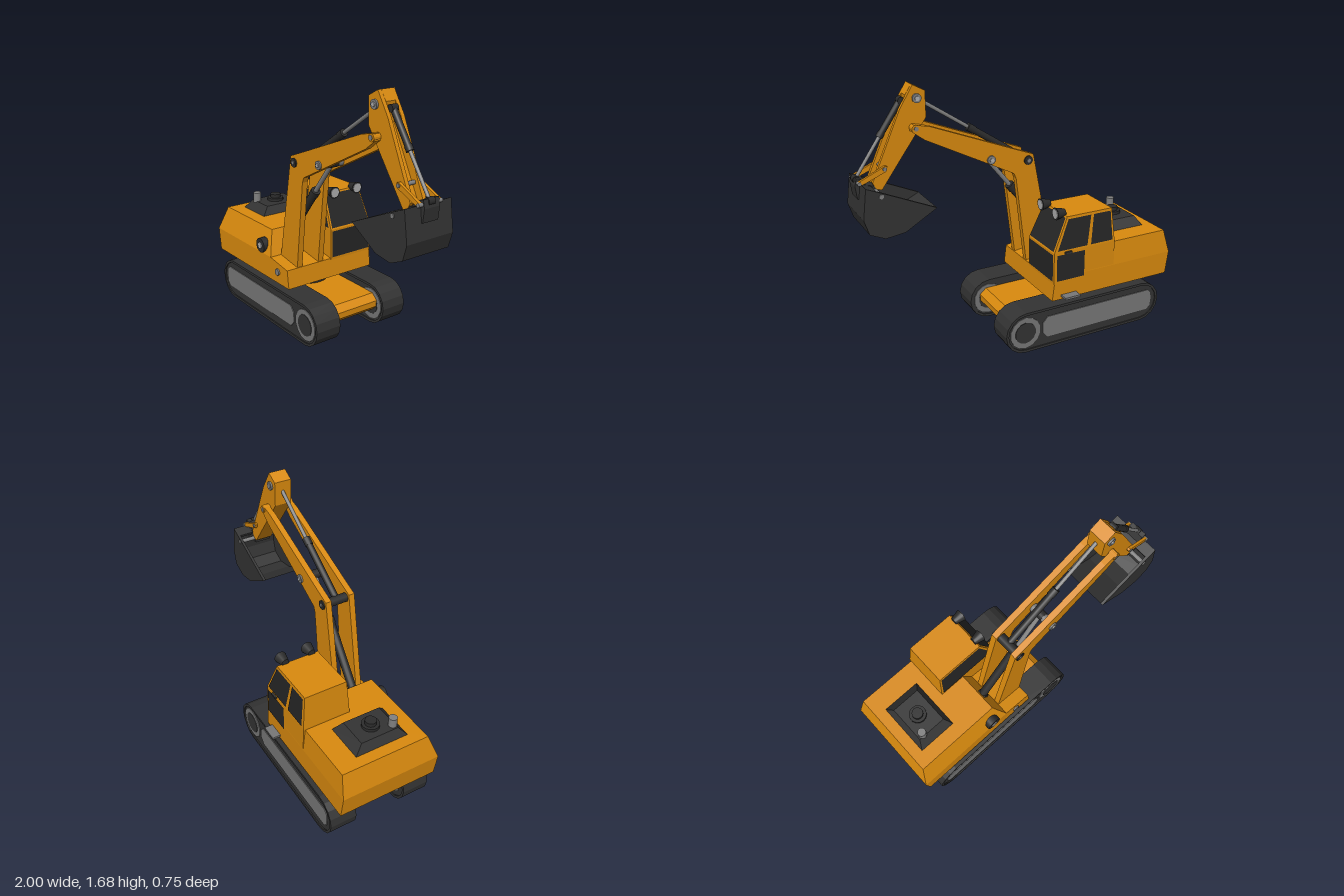
import * as THREE from 'three';

const mat = (color, extra = {}) => new THREE.MeshStandardMaterial({ color, flatShading: true, ...extra });
const orange = mat(0xd98a0e), dark = mat(0x333333), grey = mat(0x777777), pale = mat(0xb0b0b0);
const glass = mat(0x262626, { side: THREE.DoubleSide });
const darkRod = new THREE.MeshStandardMaterial({ color: 0x2c2c2c });
const greyRod = new THREE.MeshStandardMaterial({ color: 0x808080 });

export function createModel() {
  const model = new THREE.Group();
  const ARM_Z = 0.167;

  const add = (name, geo, m, parent = model) => {
    const mesh = new THREE.Mesh(geo, m);
    mesh.name = name;
    parent.add(mesh);
    return mesh;
  };
  const group = (name) => {
    const g = new THREE.Group();
    g.name = name;
    model.add(g);
    return g;
  };
  const toV2 = (pts) => pts.map(([x, y]) => new THREE.Vector2(x, y));
  // side profile (x, y) extruded from z0 to z1
  const plate = (name, pts, z0, z1, m, parent, hole) => {
    const shape = new THREE.Shape(toV2(pts));
    if (hole) shape.holes.push(new THREE.Path(toV2(hole)));
    const geo = new THREE.ExtrudeGeometry(shape, { depth: z1 - z0, bevelEnabled: false });
    return add(name, geo.translate(0, 0, z0), m, parent);
  };
  // cylinder between two points
  const rod = (name, a, b, r, m, parent, r2 = r, sides = 14) => {
    const A = new THREE.Vector3(...a), B = new THREE.Vector3(...b), d = B.clone().sub(A);
    const mesh = add(name, new THREE.CylinderGeometry(r2, r, d.length(), sides), m, parent);
    mesh.position.copy(A).add(B).multiplyScalar(0.5);
    mesh.quaternion.setFromUnitVectors(new THREE.Vector3(0, 1, 0), d.normalize());
    return mesh;
  };
  const pin = (name, x, y, z0, z1, r, m, parent) => rod(name, [x, y, z0], [x, y, z1], r, m, parent);
  // solid between two rectangles [x0, x1, z0, z1] at heights y0 and y1
  const frustum = (name, lo, y0, hi, y1, m, parent) => {
    const geo = new THREE.BoxGeometry(1, 1, 1), p = geo.attributes.position;
    for (let i = 0; i < p.count; i++) {
      const up = p.getY(i) > 0, q = up ? hi : lo;
      p.setXYZ(i, q[p.getX(i) > 0 ? 1 : 0], up ? y1 : y0, q[p.getZ(i) > 0 ? 3 : 2]);
    }
    geo.computeVertexNormals();
    return add(name, geo, m, parent);
  };

  // tracks
  const stadium = (r) => {
    const pts = [];
    for (const [cx, start] of [[0.107, -Math.PI / 2], [-0.776, Math.PI / 2]])
      for (let i = 0; i <= 8; i++) {
        const a = start + (i / 8) * Math.PI;
        pts.push([cx + r * Math.cos(a), 0.139 + r * Math.sin(a)]);
      }
    return pts;
  };
  const panel = [[-0.83, 0.07], [-0.05, 0.07], [-0.015, 0.11], [-0.015, 0.175], [-0.05, 0.215],
    [-0.83, 0.215], [-0.855, 0.19], [-0.86, 0.14], [-0.855, 0.095]];
  for (const [side, z] of [['left', 0.28], ['right', -0.25]]) {
    const g = group(side + 'Track');
    plate('trackBelt', stadium(0.139), z - 0.09, z + 0.09, dark, g, stadium(0.122));
    plate('trackCore', stadium(0.123), z - 0.082, z + 0.082, dark, g);
    plate('trackPanel', panel, z - 0.087, z + 0.087, grey, g);
    pin('sprocket', 0.11, 0.139, z - 0.087, z + 0.087, 0.107, grey, g);
    pin('sprocketHub', 0.11, 0.139, z - 0.09, z + 0.09, 0.073, dark, g);
  }

  // undercarriage and slewing ring
  plate('undercarriage', [[-0.8, 0.1], [0.13, 0.1], [0.175, 0.14], [0.175, 0.18], [0.13, 0.22],
    [-0.8, 0.22], [-0.845, 0.18], [-0.845, 0.14]], -0.165, 0.195, orange);
  rod('turntable', [-0.36, 0.2, 0.015], [-0.36, 0.31, 0.015], 0.138, darkRod, model, 0.138, 24);

  // upper body: straight lower shell, tapered rear deck
  plate('bodyLower', [[-0.98, 0.305], [-0.09, 0.305], [-0.105, 0.43], [-0.3, 0.46], [-1, 0.46]], -0.32, 0.35, orange);
  frustum('bodyUpper', [-1, -0.3, -0.32, 0.35], 0.46, [-0.955, -0.37, -0.305, 0.29], 0.62, orange);

  // engine cover
  const hood = group('engineCover');
  frustum('coverBase', [-0.885, -0.62, -0.17, 0.2], 0.615, [-0.85, -0.655, -0.11, 0.145], 0.675, dark, hood);
  rod('airFilter', [-0.755, 0.67, 0.015], [-0.755, 0.695, 0.015], 0.056, darkRod, hood);
  rod('airFilterCap', [-0.755, 0.69, 0.015], [-0.755, 0.72, 0.015], 0.036, darkRod, hood);
  rod('exhaust', [-0.815, 0.66, 0.13], [-0.815, 0.735, 0.13], 0.027, greyRod, hood);

  // side fittings
  pin('sideCap', -0.415, 0.51, 0.3, 0.358, 0.05, darkRod);
  pin('sideCapCentre', -0.415, 0.51, 0.3, 0.364, 0.022, pale);
  pin('footPin', -0.215, 0.385, 0.3, 0.36, 0.023, greyRod);

  // cab
  const cab = group('cab');
  const lo = [-0.55, -0.1, -0.318, 0.005], hi = [-0.53, -0.2, -0.298, -0.012];
  frustum('cabLower', [-0.55, -0.1, -0.32, 0.005], 0.42, lo, 0.63, orange, cab);
  frustum('cabUpper', lo, 0.63, hi, 0.855, orange, cab);
  // window inset in a face given by its corners a, b (bottom) and c, d (top)
  const pane = (name, a, b, c, d, u0, u1, v0, v1, off) => {
    const [A, B, C, D] = [a, b, c, d].map((q) => new THREE.Vector3(...q));
    const at = (u, v) => A.clone().lerp(B, u).lerp(D.clone().lerp(C, u), v).add(new THREE.Vector3(...off));
    const p = [at(u0, v0), at(u1, v0), at(u1, v1), at(u0, v1)];
    const geo = new THREE.BufferGeometry().setFromPoints([p[0], p[1], p[2], p[0], p[2], p[3]]);
    geo.computeVertexNormals();
    add(name, geo, glass, cab);
  };
  const corner = (q, x, z, y) => [q[x], y, q[2 + z]];
  const face = (x0, z0, x1, z1) => [corner(lo, x0, z0, 0.63), corner(lo, x1, z1, 0.63),
    corner(hi, x1, z1, 0.855), corner(hi, x0, z0, 0.855)];
  pane('windscreen', ...face(1, 1, 1, 0), 0.03, 0.97, 0.04, 0.95, [0.004, 0.002, 0]);
  pane('lowerWindscreen', [-0.1, 0.43, 0.005], [-0.1, 0.43, -0.32], [-0.1, 0.63, -0.32], [-0.1, 0.63, 0.005],
    0.03, 0.97, 0.04, 0.95, [0.004, 0, 0]);
  pane('leftWindow', ...face(0, 1, 1, 1), 0.03, 0.96, 0.05, 0.95, [0, 0, 0.004]);
  pane('doorWindow', ...face(1, 0, 0, 0), 0.04, 0.53, 0.06, 0.93, [0, 0, -0.004]);
  pane('rearSideWindow', ...face(1, 0, 0, 0), 0.59, 0.96, 0.06, 0.93, [0, 0, -0.004]);
  pane('lowerDoorWindow', [-0.1, 0.43, -0.32], [-0.55, 0.43, -0.32], [-0.55, 0.63, -0.32], [-0.1, 0.63, -0.32],
    0.04, 0.49, 0.04, 0.93, [0, 0, -0.004]);
  add('doorHandle', new THREE.BoxGeometry(0.05, 0.012, 0.018), dark, cab).position.set(-0.2, 0.625, -0.322);
  add('step', new THREE.BoxGeometry(0.11, 0.014, 0.06), grey, cab).position.set(-0.21, 0.33, -0.346);
  for (const z of [-0.06, -0.245]) {
    rod('headlight', [-0.21, 0.865, z], [-0.145, 0.865, z], 0.024, darkRod, cab, 0.04, 18);
    rod('headlightLens', [-0.16, 0.865, z], [-0.141, 0.865, z], 0.031, pale, cab, 0.031, 18);
  }

  // boom: two bent plates
  const boom = group('boom');
  const boomShape = [[-0.3, 0.455], [-0.11, 0.425], [-0.035, 1.02], [-0.02, 1.055], [0.57, 1.355],
    [0.65, 1.415], [0.635, 1.455], [0.535, 1.433], [-0.015, 1.22], [-0.16, 1.165]];
  const mirrored = (fn) => [-1, 1].forEach((s) => fn((a, b) => (s > 0 ? [ARM_Z + a, ARM_Z + b] : [ARM_Z - b, ARM_Z - a])));
  mirrored((z) => {
    plate('boomPlate', boomShape, ...z(0.063, 0.102), orange, boom);
    pin('boomTipBoss', 0.625, 1.43, ...z(0.055, 0.108), 0.024, orange, boom);
  });
  // pins: [x, y, half length, radius]
  pin('elbowPin', -0.122, 1.13, ARM_Z - 0.11, ARM_Z + 0.11, 0.03, darkRod, boom);
  pin('elbowPinCore', -0.122, 1.13, ARM_Z - 0.115, ARM_Z + 0.115, 0.013, greyRod, boom);
  pin('liftPin', 0.14, 1.17, ARM_Z - 0.112, ARM_Z + 0.112, 0.028, greyRod, boom);
  pin('liftPinCore', 0.14, 1.17, ARM_Z - 0.119, ARM_Z + 0.119, 0.013, pale, boom);
  pin('stickPivot', 0.622, 1.43, ARM_Z - 0.111, ARM_Z + 0.111, 0.014, greyRod, boom);

  // stick: side plates around a recessed web
  const stick = group('stick');
  const stickShape = [[0.54, 1.48], [0.835, 1.075], [0.87, 1.085], [0.89, 1.125], [0.7, 1.545], [0.615, 1.68], [0.54, 1.64]];
  const webShape = [[0.54, 1.48], [0.835, 1.075], [0.855, 1.1], [0.645, 1.5], [0.655, 1.62], [0.615, 1.68], [0.54, 1.64]];
  mirrored((z) => plate('stickPlate', stickShape, ...z(0.033, 0.058), orange, stick));
  plate('stickWeb', webShape, ARM_Z - 0.034, ARM_Z + 0.034, orange, stick);
  pin('stickRamPin', 0.595, 1.6, ARM_Z - 0.07, ARM_Z + 0.07, 0.028, greyRod, stick);
  pin('stickRamPinCore', 0.595, 1.6, ARM_Z - 0.077, ARM_Z + 0.077, 0.014, pale, stick);

  // hydraulic rams: barrel from a to fraction t, rod on to b
  const ram = (name, a, b, t, r, rr) => {
    const g = group(name);
    const at = (k) => [a[0] + (b[0] - a[0]) * k, a[1] + (b[1] - a[1]) * k, ARM_Z];
    rod('barrel', at(0), at(t), r, darkRod, g);
    rod('collar', at(t - 0.06), at(t), r * 1.15, darkRod, g);
    rod('piston', at(t), at(1), rr, greyRod, g);
    pin('lowerEye', ...a, ARM_Z - r * 1.1, ARM_Z + r * 1.1, r * 1.1, darkRod, g);
    pin('upperEye', ...b, ARM_Z - r * 1.1, ARM_Z + r * 1.1, r * 1.1, darkRod, g);
  };
  ram('boomRam', [-0.35, 0.56], [0.14, 1.17], 0.64, 0.027, 0.015);
  ram('stickRam', [-0.122, 1.13], [0.595, 1.6], 0.52, 0.022, 0.012);
  ram('bucketRam', [0.675, 1.585], [0.975, 1.15], 0.47, 0.02, 0.011);

  // bucket link
  const link = group('bucketLink');
  mirrored((z) => plate('linkArm', [[0.8, 1.22], [0.81, 1.19], [0.97, 1.125], [0.985, 1.135], [0.98, 1.15], [0.815, 1.225]],
    ...z(0.06, 0.078), orange, link));
  pin('linkPin', 0.818, 1.207, ARM_Z - 0.084, ARM_Z + 0.084, 0.012, greyRod, link);
  pin('linkEndPin', 0.975, 1.14, ARM_Z - 0.084, ARM_Z + 0.084, 0.012, greyRod, link);

  // bucket: side walls, open shell and hanger
  const bucket = group('bucket');
  const outer = [[0.535, 0.945], [0.74, 0.825], [0.865, 0.808], [0.96, 0.85], [0.99, 0.945], [0.965, 1.135], [0.86, 1.09]];
  const shell = [...outer.slice(0, 6), [0.9, 1.107], [0.905, 1.09], [0.95, 1.1], [0.968, 0.95], [0.943, 0.868],
    [0.86, 0.828], [0.745, 0.845]];
  mirrored((z) => plate('bucketSide', outer, ...z(0.147, 0.165), dark, bucket));
  plate('bucketShell', shell, ARM_Z - 0.15, ARM_Z + 0.15, dark, bucket);
  plate('bucketHanger', [[0.85, 1.05], [0.985, 1.04], [0.995, 1.12], [0.985, 1.168], [0.955, 1.16], [0.93, 1.12], [0.86, 1.1]],
    ARM_Z - 0.055, ARM_Z + 0.055, dark, bucket);
  pin('bucketPin', 0.875, 1.075, ARM_Z - 0.171, ARM_Z + 0.171, 0.014, greyRod, bucket);

  return model;
}
